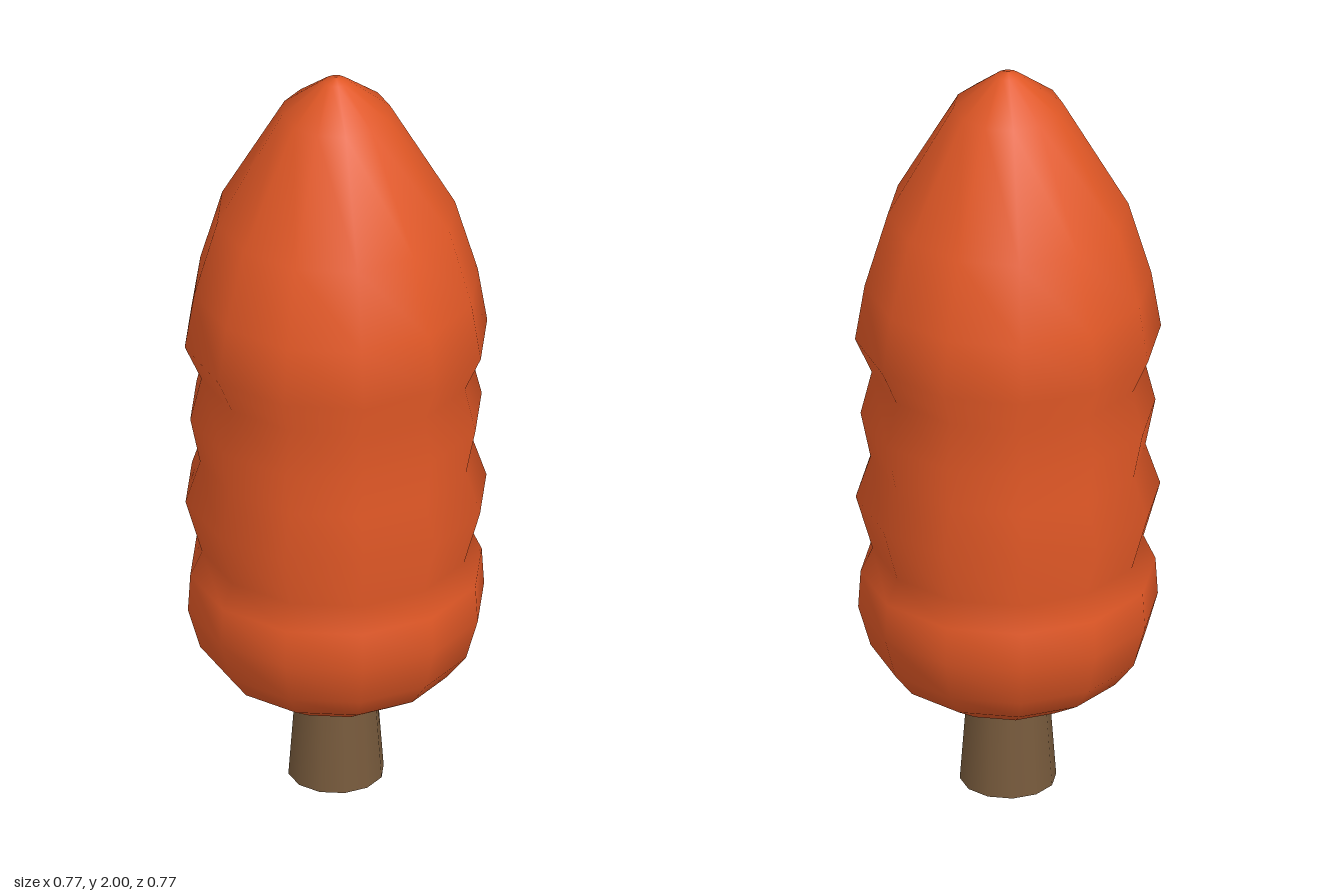
import * as THREE from 'three';

export function createModel() {
  const tree = new THREE.Group();
  tree.name = 'autumnTree';

  const foliage = new THREE.MeshStandardMaterial({ color: 0xe25826 });
  foliage.name = 'orange foliage';
  const bark = new THREE.MeshStandardMaterial({ color: 0x775a3c });
  bark.name = 'brown bark';

  const SIDES = 12;

  // Crown: rounded base, three soft bulges and a tapered tip (radius, height)
  const profile = [
    [0.1, 0.225], [0.2, 0.265], [0.295, 0.325], [0.345, 0.39],
    [0.376, 0.5], [0.37, 0.6], [0.34, 0.665], [0.382, 0.813],
    [0.345, 0.925], [0.37, 1.05], [0.342, 1.165], [0.384, 1.26],
    [0.36, 1.41], [0.302, 1.61], [0.137, 1.905], [0.03, 1.99], [0, 2],
  ].map(([r, y]) => new THREE.Vector2(r, y));
  const crown = new THREE.Mesh(new THREE.LatheGeometry(profile, SIDES), foliage);
  crown.name = 'crown';
  tree.add(crown);

  // Trunk: short, slightly flared towards the ground
  const trunk = new THREE.Mesh(new THREE.CylinderGeometry(0.104, 0.121, 0.23, SIDES), bark);
  trunk.name = 'trunk';
  trunk.position.y = 0.115;
  tree.add(trunk);

  return tree;
}
